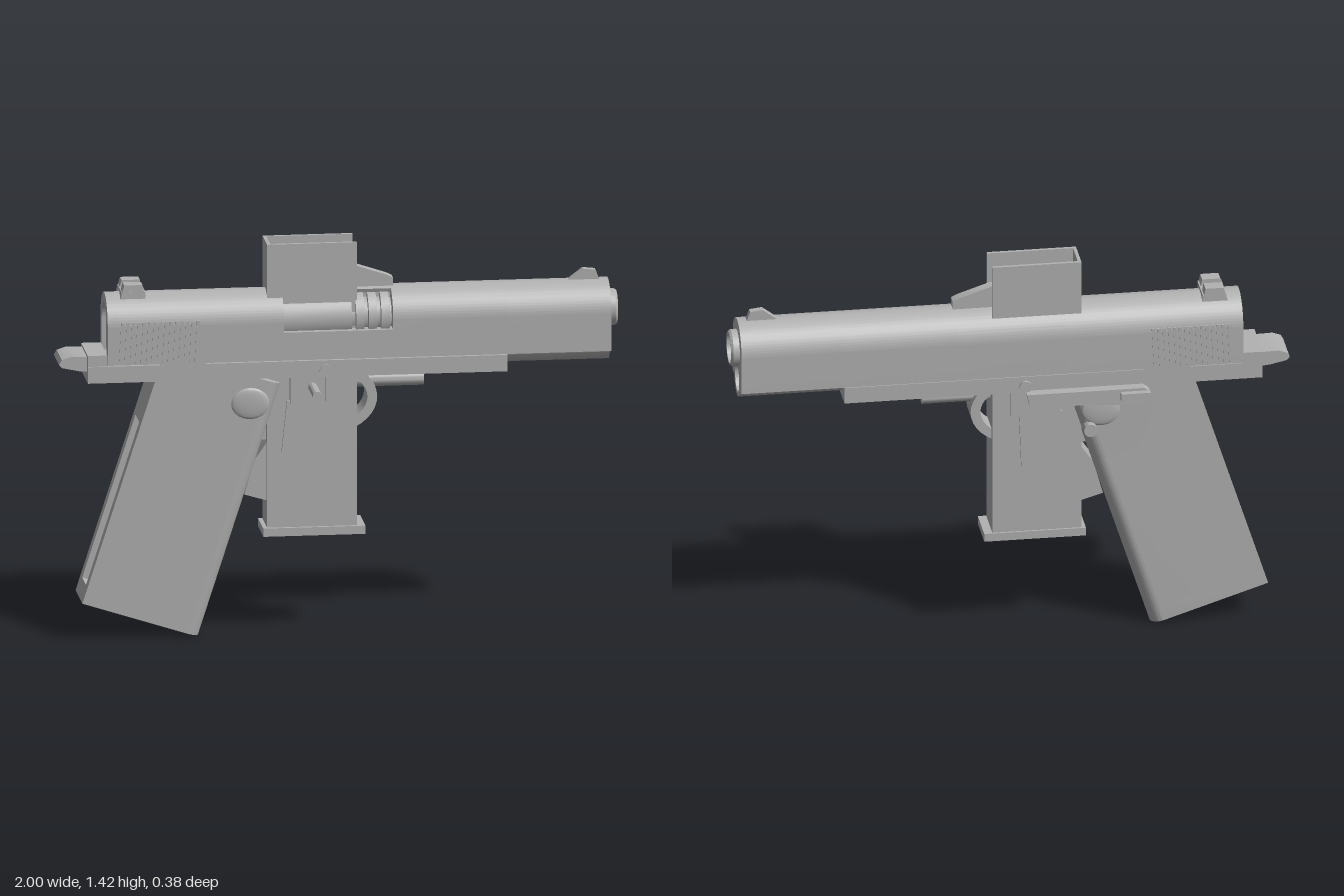
import * as THREE from 'three';
import { toCreasedNormals } from 'three/addons/utils/BufferGeometryUtils.js';

const CZ = -0.03; // centre plane of the body

export function createModel() {
  const group = new THREE.Group();
  const grey = new THREE.MeshStandardMaterial({ color: 0xb2b2b2, side: THREE.DoubleSide });
  grey.name = 'plainGrey';

  const add = (name, geo) => {
    const m = new THREE.Mesh(toCreasedNormals(geo, 0.6), grey);
    m.name = name;
    group.add(m);
    return m;
  };
  // box from its limits
  const box = (name, x0, x1, y0, y1, z0, z1) =>
    add(name, new THREE.BoxGeometry(x1 - x0, y1 - y0, z1 - z0)
      .translate((x0 + x1) / 2, (y0 + y1) / 2, (z0 + z1) / 2));
  const poly = pts => new THREE.Shape(pts.map(p => new THREE.Vector2(...p)));
  // side outline (x, y) extruded across z
  const acrossZ = (name, shape, z0, z1) =>
    add(name, new THREE.ExtrudeGeometry(shape, { depth: z1 - z0, bevelEnabled: false, curveSegments: 20 })
      .translate(0, 0, z0));
  // cross-section (-z, y) extruded along x
  const alongX = (name, shape, x0, x1) =>
    add(name, new THREE.ExtrudeGeometry(shape, { depth: x1 - x0, bevelEnabled: false, curveSegments: 32 })
      .rotateY(Math.PI / 2).translate(x0, 0, CZ));
  const pinZ = (name, x, y, r, z0, z1) =>
    add(name, new THREE.CylinderGeometry(r, r, z1 - z0, 24).rotateX(Math.PI / 2)
      .translate(x, y, (z0 + z1) / 2));
  const circle = (y, r) => new THREE.Path().absarc(0, y, r, 0, Math.PI * 2, true);

  // round-topped slide cross-section, optionally with the lower tunnel lobe
  const arch = (r, bottom, lobe = false) => {
    const s = new THREE.Shape();
    s.moveTo(r, bottom);
    s.lineTo(r, 1.14);
    s.absarc(0, 1.14, r, 0, Math.PI, false);
    s.lineTo(-r, bottom);
    if (lobe) s.absarc(0, 1.022, 0.068, Math.PI + 0.25, Math.PI * 2 - 0.25, false);
    s.closePath();
    return s;
  };

  // slide
  const rim = arch(0.107, 1.005);
  rim.holes.push(arch(0.07, 1.02));
  alongX('slideRearRim', rim, -0.83, -0.79);
  alongX('slideRear', arch(0.107, 1.005), -0.79, -0.2);
  box('slideRearSlot', -0.82, -0.78, 1.04, 1.19, CZ - 0.02, CZ + 0.02);
  const shell = new THREE.Shape();
  const cut = THREE.MathUtils.degToRad(110);
  shell.moveTo(0.107, 1.005);
  shell.lineTo(0.107, 1.14);
  shell.absarc(0, 1.14, 0.107, 0, cut, false);
  shell.absarc(0, 1.14, 0.092, cut, 0, true);
  shell.lineTo(0.092, 1.005);
  alongX('slidePortShell', shell, -0.2, 0.19);
  box('slidePortSill', -0.2, 0.19, 1.005, 1.107, CZ - 0.092, CZ + 0.107);
  const middle = arch(0.107, 1.005);
  middle.holes.push(circle(1.14, 0.066));
  alongX('slideMiddle', middle, 0.19, 0.6);
  const nose = arch(0.107, 1.005, true);
  nose.holes.push(circle(1.14, 0.066), circle(1.022, 0.05));
  alongX('slideNose', nose, 0.6, 0.97);

  // slanted gripping ribs on both sides of the slide
  for (const z of [CZ + 0.107, CZ - 0.107]) {
    for (let i = 0; i < 15; i++) {
      const x = -0.785 + i * 0.0193;
      acrossZ('slideRib', poly([[x - 0.005, 1.012], [x + 0.006, 1.012], [x + 0.014, 1.16], [x + 0.003, 1.16]]),
        z - 0.004, z + 0.004);
    }
  }

  // hollow barrel with chamber and three locking rings
  const profile = [[0.054, -0.2], [0.09, -0.2], [0.09, 0.045], [0.07, 0.045]];
  for (let i = 0; i < 3; i++) {
    const x = 0.06 + i * 0.045;
    profile.push([0.07, x], [0.094, x], [0.094, x + 0.03], [0.07, x + 0.03]);
  }
  profile.push([0.066, 0.185], [0.066, 0.992], [0.06, 1], [0.054, 1], [0.054, -0.2]);
  add('barrel', new THREE.LatheGeometry(profile.map(p => new THREE.Vector2(...p)), 40)
    .rotateZ(-Math.PI / 2).translate(0, 1.14, CZ));

  // sights
  for (const s of [-1, 1]) {
    const z = CZ - 0.005 + s * 0.04;
    acrossZ('rearSight', poly([[-0.78, 1.235], [-0.69, 1.235], [-0.7, 1.285], [-0.765, 1.285]]), z - 0.024, z + 0.024);
  }
  box('rearSightBase', -0.775, -0.69, 1.235, 1.26, CZ - 0.068, CZ + 0.06);
  acrossZ('frontSight', poly([[0.82, 1.24], [0.94, 1.24], [0.925, 1.28], [0.88, 1.285]]), CZ - 0.013, CZ + 0.013);

  // frame and tail
  box('frameRail', -0.9, 0.6, 0.94, 1.0, -0.13, 0.07);
  box('frameFill', -0.8, 0.55, 0.99, 1.01, -0.115, 0.055);
  box('frameTail', -0.9, -0.83, 0.99, 1.04, -0.13, 0.065);
  acrossZ('hammerSpur', poly([[-0.88, 0.975], [-0.93, 0.98], [-0.99, 0.993], [-1, 1.005], [-0.99, 1.022],
    [-0.96, 1.032], [-0.88, 1.03]]), -0.112, 0.042);

  // raked hollow grip with a recess down its back
  const rake = 0.312;
  const basis = new THREE.Matrix4().makeBasis(
    new THREE.Vector3(Math.cos(rake), -Math.sin(rake), 0),
    new THREE.Vector3(0, 0, -1),
    new THREE.Vector3(Math.sin(rake), Math.cos(rake), 0)).setPosition(-0.92, 0.136, CZ);
  const gripPart = (notch, d0, d1) => {
    const w = 0.44, h = 0.1, r = 0.05;
    const s = new THREE.Shape();
    s.moveTo(0, -h);
    s.lineTo(w - r, -h);
    s.absarc(w - r, -h + r, r, -Math.PI / 2, 0, false);
    s.absarc(w - r, h - r, r, 0, Math.PI / 2, false);
    s.lineTo(0, h);
    if (notch) for (const p of [[0, 0.055], [0.03, 0.055], [0.03, -0.055], [0, -0.055]]) s.lineTo(...p);
    s.closePath();
    s.holes.push(poly([[0.045, -0.075], [0.045, 0.075], [0.37, 0.075], [0.41, 0.04], [0.41, -0.04], [0.37, -0.075]]));
    add('grip', new THREE.ExtrudeGeometry(s, { depth: d1 - d0, bevelEnabled: false })
      .translate(0, 0, d0).applyMatrix4(basis));
  };
  gripPart(false, 0, 0.06);
  gripPart(true, 0.06, 0.68);
  gripPart(false, 0.68, 0.96);
  for (const z of [0.07, -0.13]) {
    add('thumbRest', new THREE.SphereGeometry(1, 28, 14).scale(0.068, 0.057, 0.009).translate(-0.32, 0.85, z));
  }

  // open-topped magazine
  const mz0 = -0.1, mz1 = 0.035, t = 0.012;
  for (const z of [mz0, mz1 - t]) box('magazineSide', -0.255, 0.065, 0.385, 1.42, z, z + t);
  box('magazineBack', -0.255, -0.243, 0.385, 1.42, mz0, mz1);
  box('magazineFront', 0.053, 0.065, 0.385, 1.0, mz0, mz1);
  box('magazineFloor', -0.25, 0.06, 1.17, 1.19, mz0 + t, mz1 - t);
  box('magazineBase', -0.27, 0.095, 0.355, 0.385, -0.107, 0.047);
  acrossZ('magazineSpur', poly([[-0.25, 0.48], [-0.335, 0.505], [-0.3, 0.63], [-0.25, 0.7]]), -0.08, 0.02);
  acrossZ('follower', poly([[-0.17, 1.2], [0.2, 1.2], [0.2, 1.275], [0.18, 1.285], [0.06, 1.325], [-0.17, 1.3]]),
    -0.052, -0.012);

  // trigger and its housing
  acrossZ('trigger', poly([[-0.185, 0.85], [-0.03, 0.85], [-0.038, 0.64], [-0.06, 0.63], [-0.15, 0.618],
    [-0.185, 0.63], [-0.205, 0.66]]), -0.11, 0.045);
  box('triggerHousing', -0.175, 0, 0.84, 0.945, -0.118, 0.055);
  box('leverArm', -0.05, -0.025, 0.85, 0.96, 0.05, 0.075);
  pinZ('pivotPin', -0.05, 0.963, 0.022, -0.14, 0.075);
  pinZ('crossPin', -0.095, 0.9, 0.016, -0.14, 0.19);

  // trigger guard and guide rod
  const guard = new THREE.Shape().absellipse(-0.05, 0.85, 0.19, 0.135, 0, Math.PI * 2, false, 0);
  guard.holes.push(new THREE.Path().absellipse(-0.05, 0.85, 0.155, 0.1, 0, Math.PI * 2, true, 0));
  acrossZ('triggerGuard', guard, -0.08, 0.02);
  box('guardTab', -0.285, -0.25, 0.7, 0.74, -0.06, 0);
  add('guideRod', new THREE.CylinderGeometry(0.027, 0.027, 0.27, 24).rotateZ(Math.PI / 2).translate(0.175, 0.903, CZ));

  // slide lever and release button on the far side
  acrossZ('slideLever', poly([[-0.47, 0.885], [-0.385, 0.885], [-0.06, 0.9], [-0.05, 0.945], [-0.47, 0.945],
    [-0.49, 0.93], [-0.49, 0.9]]), -0.168, -0.125);
  box('leverThumbPad', -0.49, -0.385, 0.905, 0.935, -0.19, -0.16);
  pinZ('releaseButton', -0.28, 0.785, 0.024, -0.157, -0.08);

  return group;
}
